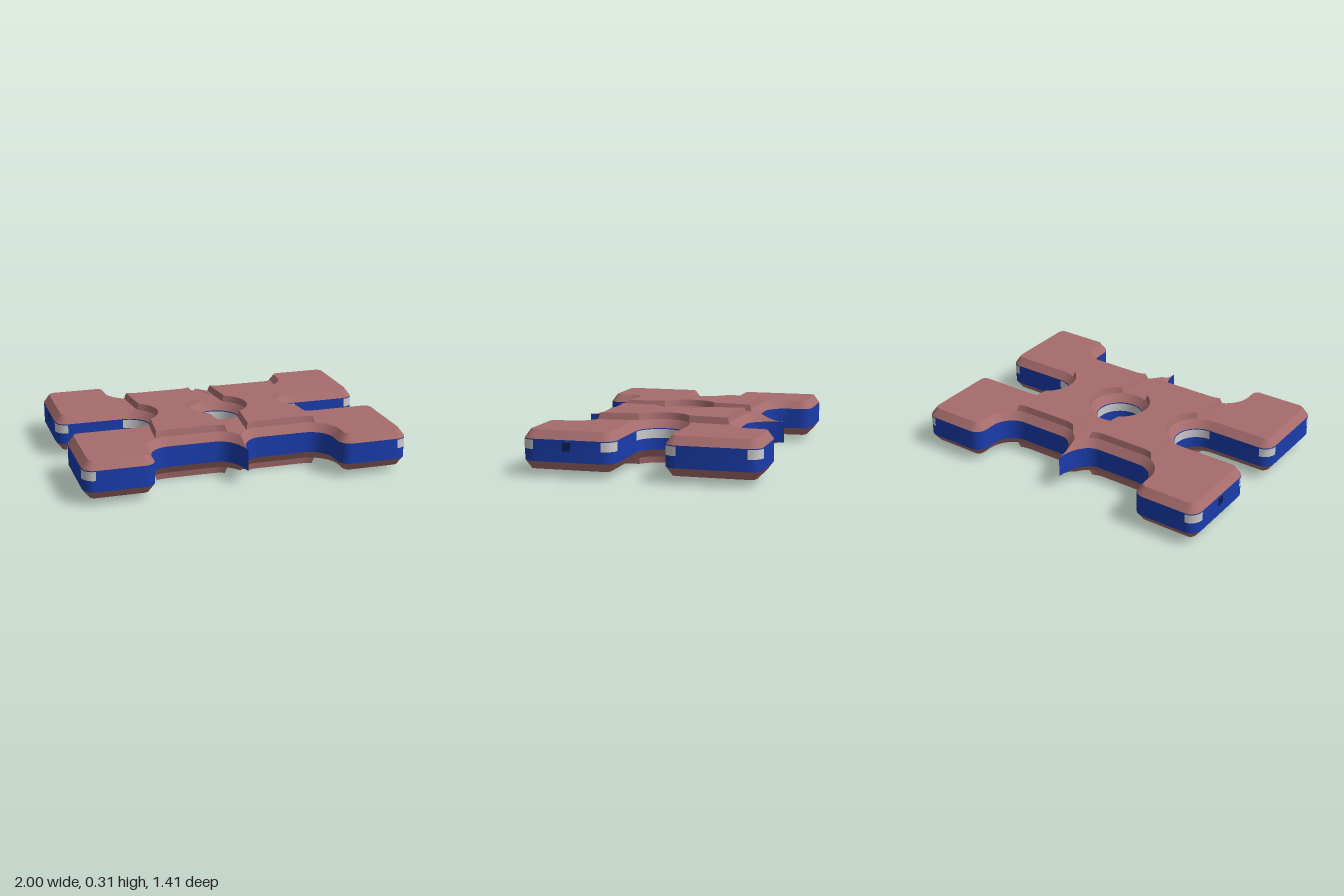
import * as THREE from 'three';
import { toCreasedNormals } from 'three/addons/utils/BufferGeometryUtils.js';

const BAND_LOW = 0.09, BAND_HIGH = 0.22, PAD_TOP = 0.27, PANEL_TOP = 0.31;
const SLOT_X = 0.58, HOLE_R = 0.145, PAD_INSET = 0.037, PANEL_INSET = 0.046;

const pink = new THREE.MeshStandardMaterial({ color: 0xa66c6c });
const blue = new THREE.MeshStandardMaterial({ color: 0x1a3cab });
const navy = new THREE.MeshStandardMaterial({ color: 0x0d1c55 });
const grey = new THREE.MeshStandardMaterial({ color: 0xcccccc, side: THREE.DoubleSide });

// Points [x, z] on an elliptical arc
function arc(cx, cz, rx, rz, a0, a1, n) {
  return Array.from({ length: n + 1 }, (_, i) => {
    const a = a0 + (a1 - a0) * i / n;
    return [cx + rx * Math.cos(a), cz + rz * Math.sin(a)];
  });
}

const PI = Math.PI;
const slotArc = arc(SLOT_X, 0, HOLE_R, HOLE_R, PI, PI / 2, 10);
const innerCorner = arc(0.93, 0.22, 0.07, 0.075, -PI / 2, 0, 5);
const outerCorner = arc(0.93, 0.63, 0.07, 0.075, 0, PI / 2, 5);

// One quarter of the outline, from the slot end round the pad to the cusp
const quarter = [
  ...slotArc, ...innerCorner, ...outerCorner,
  ...arc(0.64, 0.63, 0.07, 0.075, PI / 2, PI, 5),
  ...arc(0.43, 0.57, 0.14, 0.14, 0, -PI / 2, 8),
  ...arc(0.14, 0.64, 0.14, 0.21, -PI / 2, -PI, 14),
];
quarter[0][1] = 0;
quarter[quarter.length - 1] = [0, 0.64];

function fullOutline() {
  const flip = (sx, sz) => quarter.map(([x, z]) => [x * sx, z * sz]);
  return [
    ...flip(1, 1), ...flip(-1, 1).reverse().slice(1),
    ...flip(-1, -1).slice(1), ...flip(1, -1).reverse().slice(1, -1),
  ];
}
const outline = fullOutline();
const hole = arc(0, 0, HOLE_R, HOLE_R, 0, -2 * PI, 48).slice(0, -1);

const level = (pts, y) => pts.map(([x, z]) => [x, y, z]);

// Bevelled edge: move each point inwards and up; at the cusp the two
// bevels stop where they meet on the centre line
function bevel(pts, d, y0, y1) {
  const n = pts.length;
  return pts.map(([x, z], i) => {
    const [px, pz] = pts[(i + n - 1) % n], [qx, qz] = pts[(i + 1) % n];
    const u = new THREE.Vector2(pz - z, x - px).normalize();
    const v = new THREE.Vector2(z - qz, qx - x).normalize();
    const m = u.clone().add(v).normalize();
    m.multiplyScalar(d / Math.max(m.dot(u), 0.5));
    let t = 1;
    if (Math.abs(z) > 0.4 && Math.abs(x) < 0.15) {
      if (Math.abs(x) < 1e-6) t = 0;
      else if (x * (x + m.x) < 0) t = -x / m.x;
    }
    return [x + m.x * t, y0 + (y1 - y0) * t, z + m.y * t];
  });
}

// Collects walls and caps into one geometry
class Builder {
  constructor() { this.pos = []; }
  tri(a, b, c) { this.pos.push(...a, ...b, ...c); return this; }
  wall(low, high, closed = true) {
    const n = low.length;
    for (let i = 0; i < (closed ? n : n - 1); i++) {
      const j = (i + 1) % n;
      this.tri(low[i], high[i], low[j]).tri(low[j], high[i], high[j]);
    }
    return this;
  }
  cap(loop, holes = []) {
    const flat = (l) => l.map((p) => new THREE.Vector2(p[0], p[2]));
    const all = [loop, ...holes].flat();
    for (const [a, b, c] of THREE.ShapeUtils.triangulateShape(flat(loop), holes.map(flat))) {
      this.tri(all[a], all[c], all[b]);
    }
    return this;
  }
  mesh(name, material) {
    const g = new THREE.BufferGeometry();
    g.setAttribute('position', new THREE.Float32BufferAttribute(this.pos, 3));
    const m = new THREE.Mesh(toCreasedNormals(g, 0.5), material);
    m.name = name;
    return m;
  }
}

// Outline of a raised panel on the +x side: d is the inset, e the end slant
function panelLoop(d, e, y) {
  const R = HOLE_R + d, f = 0.14 + d;
  const slotA = Math.acos((SLOT_X - 0.485 + e) / R);
  const holeA = Math.acos((0.085 + e) / R);
  const half = [
    ...arc(SLOT_X, 0, R, R, PI, PI - slotA, 8),
    ...arc(0.43, 0.57, f, f, -Math.acos((0.08 - e) / f), -PI / 2, 5),
    ...arc(0.14, 0.64, f, 0.21 + d, -PI / 2, -PI + Math.acos((0.08 - e) / f), 5),
    ...arc(0, 0, R, R, holeA, 0, 8),
  ];
  const mirrored = half.map(([x, z]) => [x, -z]).reverse().slice(1, -1);
  return level([...half, ...mirrored], y);
}

// Bevelled cover with two raised panels
function makeCover(name) {
  const cover = new THREE.Group();
  cover.name = name;
  const edge = bevel(outline, PAD_INSET, BAND_HIGH, PAD_TOP);
  const rim = bevel(hole, PAD_INSET, BAND_HIGH, PAD_TOP);
  cover.add(new Builder()
    .wall(level(outline, BAND_HIGH), edge)
    .wall(level(hole, BAND_HIGH), rim)
    .cap(edge, [rim]).mesh('coverPlate', pink));
  const low = panelLoop(PAD_INSET, 0, PAD_TOP - 0.005);
  const high = panelLoop(PANEL_INSET, 0.012, PANEL_TOP);
  for (const side of [0, 1]) {
    const panel = new Builder().wall(low, high).cap(high).mesh('raisedPanel', pink);
    panel.rotation.y = side * PI;
    cover.add(panel);
  }
  return cover;
}

// Thin grey strip lying just outside the band
function inlay(name, pts, closed = false) {
  const out = pts.map(([x, z], i) => {
    const [ax, az] = pts[Math.max(i - 1, 0)], [bx, bz] = pts[Math.min(i + 1, pts.length - 1)];
    const l = Math.hypot(bx - ax, bz - az);
    return [x + (bz - az) / l * 0.002, z - (bx - ax) / l * 0.002];
  });
  return new Builder().wall(level(out, 0.16), level(out, 0.215), closed).mesh(name, grey);
}

export function createModel() {
  const model = new THREE.Group();
  model.name = 'crossPlate';

  // Middle band with its centre hole
  model.add(new Builder()
    .wall(level(outline, BAND_LOW), level(outline, BAND_HIGH))
    .wall(level(hole, BAND_LOW), level(hole, BAND_HIGH))
    .mesh('middleBand', blue));

  // Covers above and below
  const lower = makeCover('lowerCover');
  lower.rotation.x = PI;
  lower.position.y = PANEL_TOP;
  model.add(makeCover('upperCover'), lower);

  // Grey inlays in the hole, slot ends and pad corners
  model.add(inlay('holeInlay', hole, true));
  const mirrorZ = (pts) => pts.map(([x, z]) => [x, -z]).reverse();
  for (const side of [0, 1]) {
    const end = new THREE.Group();
    end.name = side ? 'rightEnd' : 'leftEnd';
    end.add(inlay('slotInlay', [...mirrorZ(slotArc).slice(0, -1), ...slotArc]));
    for (const corner of [innerCorner, outerCorner]) {
      end.add(inlay('cornerInlay', corner), inlay('cornerInlay', mirrorZ(corner)));
    }
    // Small port on one pad of each end
    const port = new THREE.Mesh(new THREE.BoxGeometry(0.004, 0.05, 0.05), navy);
    port.name = 'port';
    port.position.set(0.999, 0.18, 0.43);
    end.add(port);
    end.rotation.y = side * PI;
    model.add(end);
  }
  return model;
}
